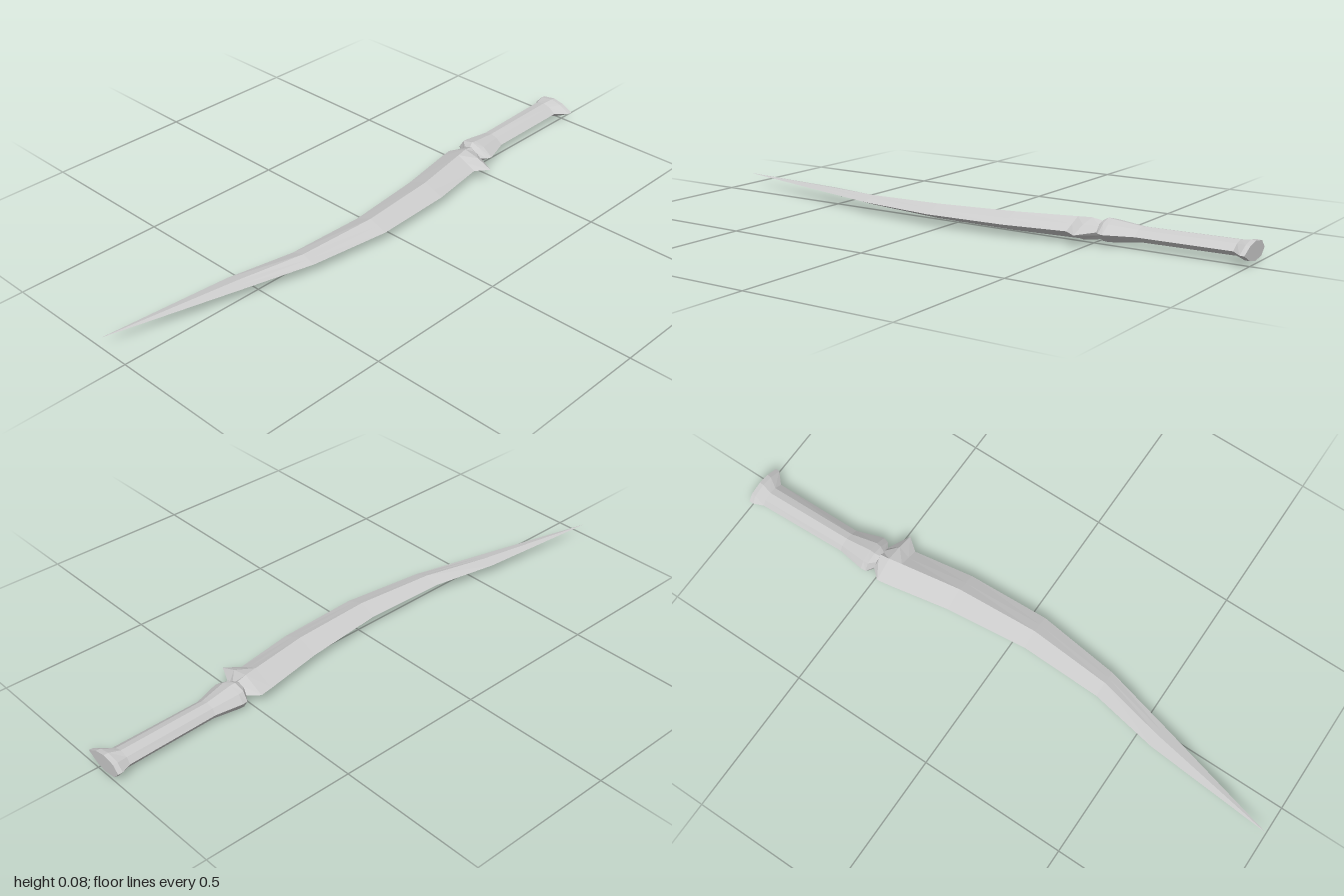
import * as THREE from 'three';

const MID = 0.038; // height of the dagger's flat plane of symmetry
const material = new THREE.MeshStandardMaterial({ color: 0xcccccc, flatShading: true });

// Skin a list of rings (equal point counts, counter-clockwise seen from +z, z rising), capping both ends.
function loft(name, rings) {
  const n = rings[0].length, index = [];
  rings.slice(1).forEach((_, k) => {
    for (let i = 0; i < n; i++) {
      const a = k * n + i, b = k * n + (i + 1) % n;
      index.push(a, b, b + n, a, b + n, a + n);
    }
  });
  const last = (rings.length - 1) * n;
  for (let i = 1; i < n - 1; i++) {
    index.push(0, i + 1, i, last, last + i, last + i + 1);
  }
  const geometry = new THREE.BufferGeometry();
  geometry.setAttribute('position', new THREE.Float32BufferAttribute(rings.flat(2), 3));
  geometry.setIndex(index);
  const flat = geometry.toNonIndexed();
  flat.computeVertexNormals();
  const mesh = new THREE.Mesh(flat, material);
  mesh.name = name;
  return mesh;
}

// Diamond blade section; the shoulder lies between the ridge and the cutting edge.
function bladeRing([z, spine, ridge, edge, h, bulge = 0]) {
  const sx = (ridge + edge) / 2, sh = h / 2 + bulge;
  return [
    [edge, MID, z], [sx, MID + sh, z], [ridge, MID + h, z],
    [spine, MID, z], [ridge, MID - h, z], [sx, MID - sh, z],
  ];
}

// Eight-sided handle section between two x limits.
function handleRing([z, x0, x1, h]) {
  const outline = [[1, 0], [0.72, 0.72], [0.45, 1], [0.14, 0.75], [0, 0], [0.14, -0.75], [0.45, -1], [0.72, -0.72]];
  return outline.map(([u, v]) => [x0 + u * (x1 - x0), MID + v * h, z]);
}

export function createModel() {
  const model = new THREE.Group();
  model.name = 'dagger';

  // Curved blade with a spur beside the guard: z, spine x, ridge x, edge x, half thickness, bulge
  model.add(loft('blade', [
    [-0.52, -0.06, -0.025, 0.012, 0.028],
    [-0.48, -0.095, -0.022, 0.092, 0.035, 0.005],
    [-0.435, -0.088, -0.014, 0.057, 0.034],
    [-0.23, -0.05, 0.02, 0.09, 0.030],
    [0.05, -0.02, 0.038, 0.102, 0.024],
    [0.33, -0.027, 0.02, 0.067, 0.016],
    [0.56, -0.07, -0.03, 0.009, 0.009],
    [1.0, -0.105, -0.105, -0.105, 0],
  ].map(bladeRing)));

  // Grip flaring into the collar: z, x limits, half thickness
  model.add(loft('grip', [
    [-0.95, -0.09, 0.004, 0.025],
    [-0.64, -0.078, 0.009, 0.025],
    [-0.548, -0.092, 0.04, 0.036],
    [-0.53, -0.09, 0.034, 0.038],
    [-0.512, -0.062, 0.012, 0.028],
  ].map(handleRing)));

  // Flared pommel with a flat end
  model.add(loft('pommel', [
    [-1.0, -0.104, 0.042, 0.03],
    [-0.985, -0.104, 0.04, 0.031],
    [-0.95, -0.09, 0.004, 0.025],
  ].map(handleRing)));

  return model;
}
